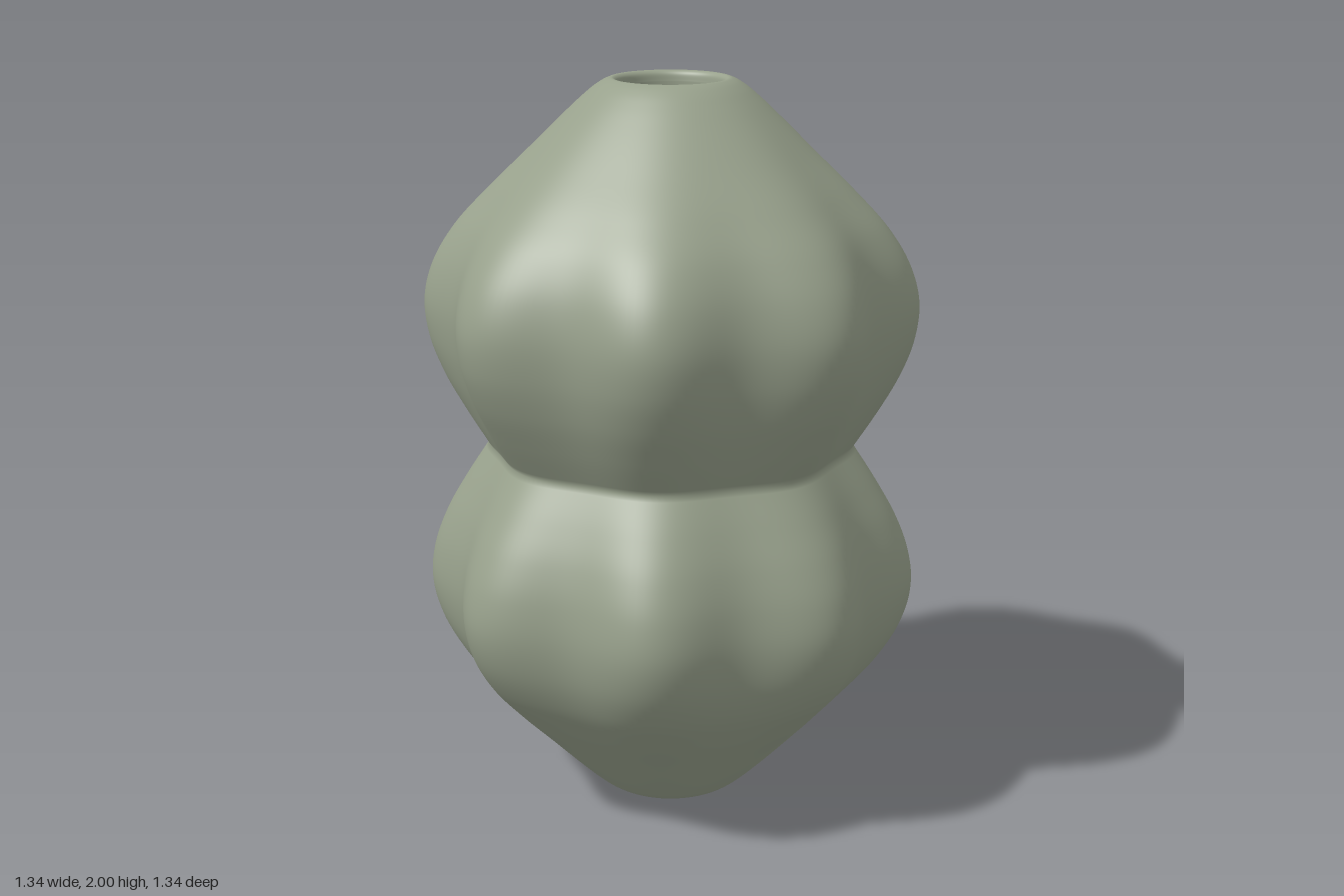
import * as THREE from 'three';
import { mergeVertices } from 'three/addons/utils/BufferGeometryUtils.js';

const HOLE = 0.14, BULGE = 0.672, LOBES = 8;

// Half profile from waist to rim, measured along a lobe crest: [radius, height above waist]
const HALF = [
  [0.5, 0], [0.565, 0.1], [0.622, 0.2], [0.66, 0.3], [0.671, 0.4], [0.646, 0.5], [0.586, 0.6], [0.494, 0.7],
  [0.391, 0.8], [0.289, 0.9], [0.238, 0.948], [0.202, 0.978], [0.174, 0.995], [0.155, 1], [0.144, 0.992], [HOLE, 0.97],
];

function beadProfile() {
  const curve = new THREE.CatmullRomCurve3(HALF.map(([r, y]) => new THREE.Vector3(r, y, 0)), false, 'centripetal');
  const half = curve.getPoints(105);
  const upper = half.map(p => new THREE.Vector2(p.x, 1 + Math.min(p.y, 1)));
  const lower = half.map(p => new THREE.Vector2(p.x, 1 - Math.min(p.y, 1))).reverse();
  // outer skin bottom to top, then back down the bore
  return [...lower, ...upper.slice(1), new THREE.Vector2(HOLE, 1), lower[0].clone()];
}

function lobedBead() {
  let geo = new THREE.LatheGeometry(beadProfile(), 192);
  geo.deleteAttribute('uv');
  geo.deleteAttribute('normal');
  geo = mergeVertices(geo, 1e-5);
  // Press eight grooves between the lobes, deepest at the bulge and fading to waist and rim
  const pos = geo.attributes.position;
  for (let i = 0; i < pos.count; i++) {
    const x = pos.getX(i), z = pos.getZ(i);
    const depth = 0.051 * (Math.hypot(x, z) / BULGE) ** 3;
    const k = 1 - depth * (1 - Math.cos(LOBES * Math.atan2(z, x)));
    pos.setX(i, x * k);
    pos.setZ(i, z * k);
  }
  geo.computeVertexNormals();
  return geo;
}

export function createModel() {
  const group = new THREE.Group();
  group.name = 'doubleMelonBead';
  const sageGreen = new THREE.MeshStandardMaterial({ color: 0x98a18c });
  sageGreen.name = 'sageGreen';
  const bead = new THREE.Mesh(lobedBead(), sageGreen);
  bead.name = 'beadBody';
  group.add(bead);
  return group;
}
